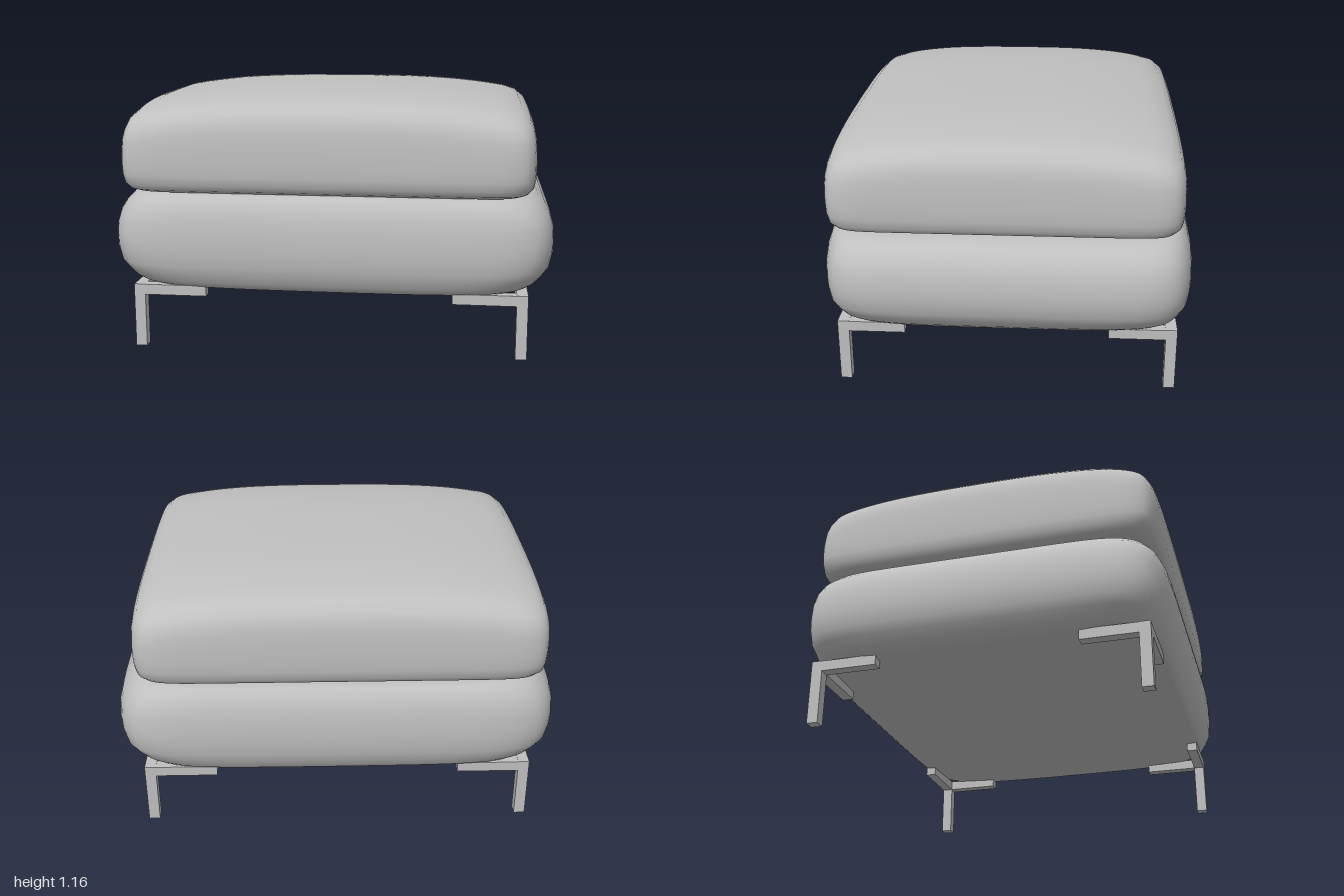
import * as THREE from 'three';

const fabric = new THREE.MeshStandardMaterial({ color: 0xc0c0c0 });
fabric.name = 'light grey';

const PER_SIDE = 28;
const CAP_RINGS = 14;

// Unit outline: a square with softly rounded corners and slightly bowed sides
function outline(power) {
  const pts = [];
  for (let side = 0; side < 4; side++) {
    for (let i = 0; i < PER_SIDE; i++) {
      const t = Math.sin((i / PER_SIDE - 0.5) * Math.PI);
      const [a, b] = [[1, t], [-t, 1], [-1, -t], [t, -1]][side];
      const s = (Math.abs(a) ** power + Math.abs(b) ** power) ** (-1 / power);
      pts.push([a * s, b * s]);
    }
  }
  return pts;
}

// Cushion from stacked rings; profile rows are [inset, height, droop towards the edges]
function cushion(name, { hx, hz, power, zInset, profile }) {
  const shape = outline(power);
  const n = shape.length;
  const rings = [];
  const first = profile[0];
  const last = profile[profile.length - 1];
  const ring = ([d, y, droop], s = 1) =>
    rings.push({ rx: (hx - d) * s, rz: (hz - d * zInset) * s, y, droop });

  for (let i = 0; i < CAP_RINGS; i++) ring(first, i / CAP_RINGS);
  profile.forEach((row) => ring(row));
  for (let i = CAP_RINGS - 1; i >= 0; i--) ring(last, i / CAP_RINGS);

  const pos = [];
  const index = [];
  rings.forEach(({ rx, rz, y, droop }, r) => {
    shape.forEach(([a, b], j) => {
      const x = a * rx;
      const z = b * rz;
      const fall = Math.abs(x / hx) ** 3 + Math.abs(z / hz) ** 3;
      pos.push(x, y - droop * fall, z);
      if (r === rings.length - 1) return;
      const p = r * n + j;
      const q = r * n + ((j + 1) % n);
      index.push(p, p + n, q, q, p + n, q + n);
    });
  });
  const geo = new THREE.BufferGeometry();
  geo.setAttribute('position', new THREE.Float32BufferAttribute(pos, 3));
  geo.setIndex(index);
  geo.computeVertexNormals();
  const mesh = new THREE.Mesh(geo, fabric);
  mesh.name = name;
  return mesh;
}

function bar(name, x0, x1, y0, y1, z0, z1) {
  const mesh = new THREE.Mesh(new THREE.BoxGeometry(x1 - x0, y1 - y0, z1 - z0), fabric);
  mesh.position.set((x0 + x1) / 2, (y0 + y1) / 2, (z0 + z1) / 2);
  mesh.name = name;
  return mesh;
}

// Corner leg: a square post with two short rails under the base
function leg(name, sx, sz) {
  const group = new THREE.Group();
  group.name = name;
  const span = (s, a, b) => (s > 0 ? [a, b] : [-b, -a]);
  group.add(
    bar('post', ...span(sx, 0.83, 0.88), 0, 0.29, ...span(sz, 0.7, 0.75)),
    bar('sideRail', ...span(sx, 0.83, 0.88), 0.242, 0.289, ...span(sz, 0.45, 0.7)),
    bar('crossRail', ...span(sx, 0.55, 0.83), 0.242, 0.289, ...span(sz, 0.7, 0.75)),
  );
  return group;
}

export function createModel() {
  const model = new THREE.Group();
  model.name = 'footstool';

  // Wide, bulging base with a slightly sagging underside
  model.add(cushion('baseCushion', {
    hx: 1, hz: 0.82, power: 8, zInset: 0.55,
    profile: [
      [0.13, 0.26, -0.025], [0.1, 0.275, -0.02], [0.07, 0.3, -0.015], [0.04, 0.34, -0.01],
      [0.015, 0.39, 0], [0.002, 0.45, 0], [0, 0.5, 0], [0.004, 0.56, 0], [0.02, 0.615, 0],
      [0.045, 0.655, 0], [0.075, 0.685, 0], [0.11, 0.703, 0], [0.16, 0.71, 0],
    ],
  }));

  // Squarer seat cushion with a domed top
  const seat = cushion('seatCushion', {
    hx: 0.925, hz: 0.785, power: 14, zInset: 1,
    profile: [
      [0.1, 0.708, 0], [0.06, 0.712, 0], [0.03, 0.725, 0], [0.01, 0.75, 0], [0.002, 0.79, 0],
      [0, 0.85, 0.01], [0, 0.92, 0.03], [0.002, 0.99, 0.05], [0.006, 1.05, 0.062],
      [0.015, 1.095, 0.07], [0.032, 1.13, 0.072], [0.07, 1.153, 0.072], [0.13, 1.16, 0.072],
    ],
  });
  seat.position.set(-0.017, 0, 0.013);
  model.add(seat);

  for (const [sx, xName] of [[1, 'Left'], [-1, 'Right']]) {
    for (const [sz, zName] of [[1, 'front'], [-1, 'back']]) {
      model.add(leg(`${zName}${xName}Leg`, sx, sz));
    }
  }
  return model;
}
